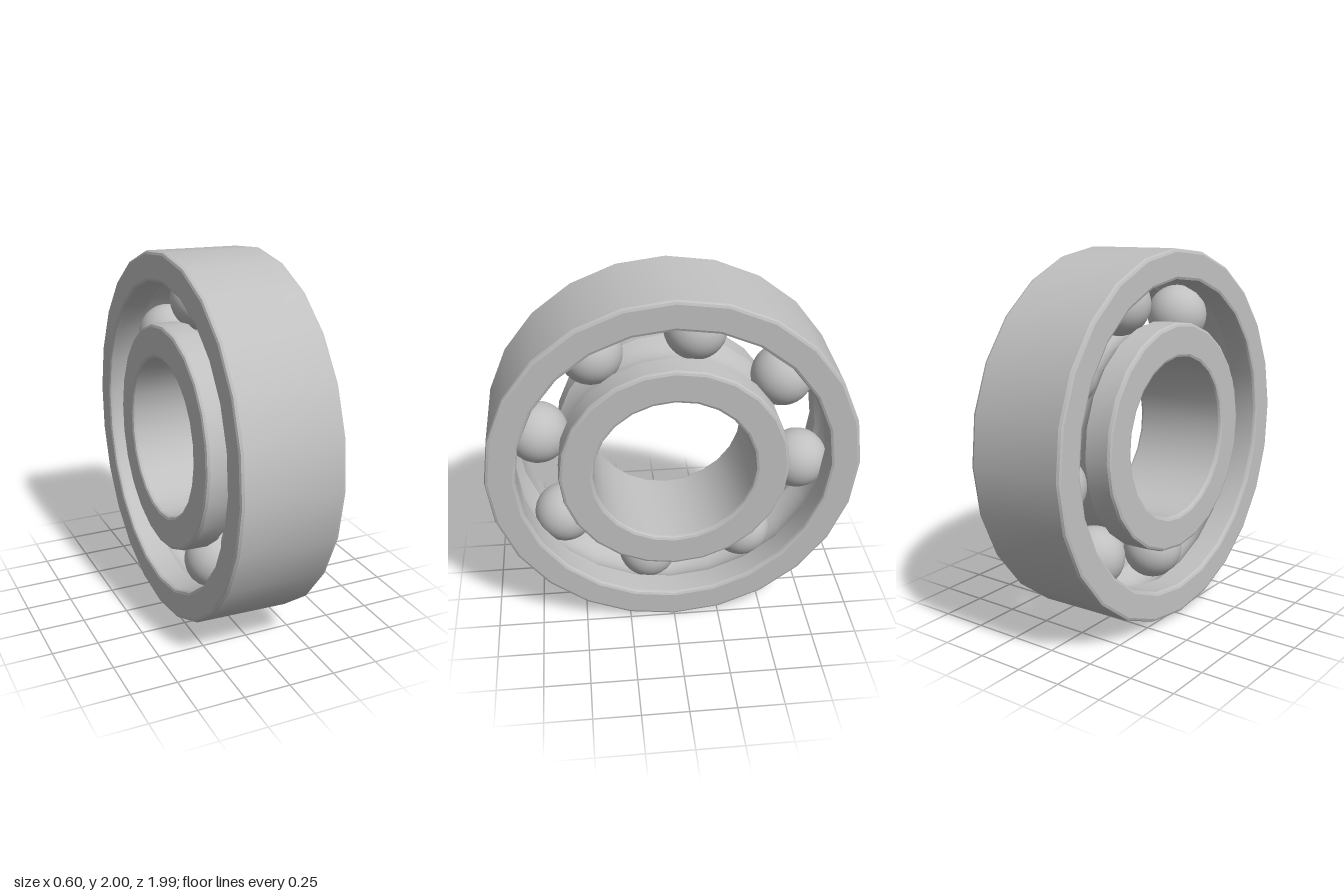
import * as THREE from 'three';
import { toCreasedNormals } from 'three/addons/utils/BufferGeometryUtils.js';

const HALF_WIDTH = 0.277;
const BALL_RADIUS = 0.166;
const PITCH_RADIUS = 0.722;
const BALLS = 8;
const FILLET = 0.018;

// Rounded corner of a ring's section, centred on (r, y), sweeping 90 degrees
function corner(points, r, y, start) {
  for (let i = 0; i <= 2; i++) {
    const a = start + (i / 2) * Math.PI / 2;
    points.push(new THREE.Vector2(r + FILLET * Math.cos(a), y + FILLET * Math.sin(a)));
  }
}

// Groove that the balls run in, from angle a0 to a1 around the ball centre
function groove(points, a0, a1) {
  for (let i = 0; i <= 12; i++) {
    const a = a0 + (i / 12) * (a1 - a0);
    const r = BALL_RADIUS + 0.002;
    points.push(new THREE.Vector2(PITCH_RADIUS + r * Math.cos(a), r * Math.sin(a)));
  }
}

// One race, turned about the bearing's axis, with its groove inside or outside
function race(name, inner, outer, grooveOutside, material) {
  const p = [];
  const y = HALF_WIDTH - FILLET;
  const wall = grooveOutside ? outer : inner;
  const half = Math.acos(Math.abs(wall - PITCH_RADIUS) / (BALL_RADIUS + 0.002));
  corner(p, outer - FILLET, -y, -Math.PI / 2);
  if (grooveOutside) groove(p, Math.PI + half, Math.PI - half);
  corner(p, outer - FILLET, y, 0);
  corner(p, inner + FILLET, y, Math.PI / 2);
  if (!grooveOutside) groove(p, half, -half);
  corner(p, inner + FILLET, -y, Math.PI);
  p.push(p[0].clone());
  const geometry = toCreasedNormals(new THREE.LatheGeometry(p, 24), 0.3);
  geometry.rotateZ(-Math.PI / 2);
  const mesh = new THREE.Mesh(geometry, material);
  mesh.name = name;
  return mesh;
}

export function createModel() {
  const steel = new THREE.MeshStandardMaterial({ color: 0xc0c0c0 });
  steel.name = 'steel';

  const bearing = new THREE.Group();
  bearing.name = 'ballBearing';
  bearing.add(race('outerRace', 0.832, 0.993, false, steel));
  bearing.add(race('innerRace', 0.43, 0.612, true, steel));

  // Balls evenly spaced around the axis
  const ballGeometry = new THREE.SphereGeometry(BALL_RADIUS, 32, 20);
  for (let i = 0; i < BALLS; i++) {
    const a = 0.18 + (i / BALLS) * Math.PI * 2;
    const ball = new THREE.Mesh(ballGeometry, steel);
    ball.name = `ball${i + 1}`;
    ball.position.set(0, PITCH_RADIUS * Math.cos(a), -PITCH_RADIUS * Math.sin(a));
    bearing.add(ball);
  }

  // Slight lean to the side
  bearing.rotation.z = -0.026;
  bearing.position.y = 1;

  const model = new THREE.Group();
  model.name = 'model';
  model.add(bearing);
  return model;
}
